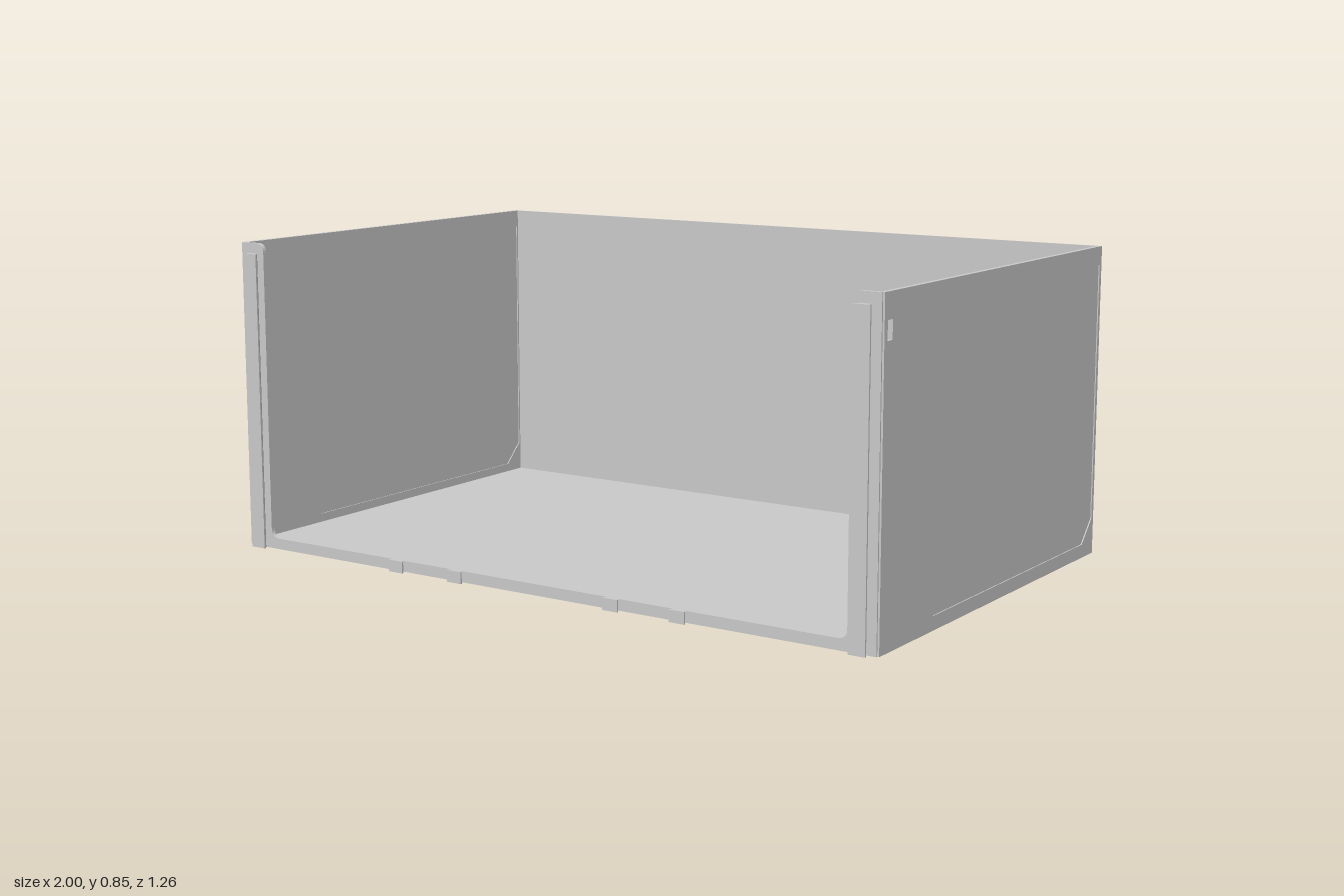
import * as THREE from 'three';

const mat = new THREE.MeshStandardMaterial({ color: 0xcccccc, flatShading: true });
const W = 1, H = 0.85;

function shapeOf(points) {
  return new THREE.Shape(points.map(([x, y]) => new THREE.Vector2(x, y)));
}

function extrude(shape, depth) {
  return new THREE.ExtrudeGeometry(shape, { depth, bevelEnabled: false, curveSegments: 6 });
}

function add(parent, name, geometry, x = 0, y = 0, z = 0) {
  const mesh = new THREE.Mesh(geometry, mat);
  mesh.name = name;
  mesh.position.set(x, y, z);
  parent.add(mesh);
  return mesh;
}

function rect(x0, y0, x1, y1) {
  return [[x0, y0], [x1, y0], [x1, y1], [x0, y1]];
}

// Sloped band joining a loop of [x, y, xDeep, yDeep] points at two depths
function slopes(loop, zFace, zDeep) {
  const pos = [];
  loop.forEach((p, i) => {
    const q = loop[(i + 1) % loop.length];
    const a = [p[2], p[3], zDeep], b = [q[2], q[3], zDeep];
    const c = [q[0], q[1], zFace], d = [p[0], p[1], zFace];
    pos.push(...a, ...b, ...c, ...a, ...c, ...d);
  });
  const g = new THREE.BufferGeometry();
  g.setAttribute('position', new THREE.Float32BufferAttribute(pos, 3));
  g.computeVertexNormals();
  return g;
}

// Back wall, built facing +z and then turned round
function makeBackWall() {
  const wall = new THREE.Group();
  wall.name = 'backWall';
  const zIn = 0.605, zDeep = 0.611, zFace = 0.631;
  add(wall, 'backSheet', new THREE.BoxGeometry(2 * W, H, zDeep - zIn), 0, H / 2, (zIn + zDeep) / 2);

  // Outline with three tapered slots open at the top
  const outline = [[-0.99, 0.005, -W, 0], [0.99, 0.005, W, 0], [0.99, H - 0.004, W, H]];
  for (const c of [0.7, 0, -0.7]) {
    outline.push(
      [c + 0.082, H - 0.004, c + 0.062, H], [c + 0.075, 0.655, c + 0.062, 0.675],
      [c - 0.075, 0.655, c - 0.062, 0.675], [c - 0.082, H - 0.004, c - 0.062, H]);
  }
  outline.push([-0.99, H - 0.004, -W, H]);
  const face = shapeOf(outline);
  add(wall, 'backRim', slopes(outline, zFace, zDeep));

  // Bevelled pockets: [x0, x1, top]
  const pockets = [[-0.08, 0.08, 0.61]];
  for (const [x0, x1, top] of [[0.095, 0.615, 0.815], [0.63, 0.775, 0.61], [0.79, 0.98, 0.815]]) {
    pockets.push([x0, x1, top], [-x1, -x0, top]);
  }
  for (const [x0, x1, top] of pockets) {
    const outer = rect(x0, 0.014, x1, top);
    const inner = rect(x0 + 0.033, 0.062, x1 - 0.033, top - 0.05);
    const loop = outer.map((p, i) => [...p, ...inner[i]]).reverse();
    face.holes.push(shapeOf(loop));
    add(wall, 'pocketBevel', slopes(loop, zFace, zDeep));
  }
  add(wall, 'backFace', new THREE.ShapeGeometry(face), 0, 0, zFace);
  wall.rotation.y = Math.PI;
  return wall;
}

// Side wall: frame with a shallow recessed panel and a small window
function makeSide(sign) {
  const side = new THREE.Group();
  side.name = sign > 0 ? 'leftSide' : 'rightSide';
  const t = 0.013;
  const panel = [[-0.545, 0.245], [-0.34, 0.037], [0.54, 0.037], [0.6, 0.098],
    [0.6, 0.8], [-0.48, 0.8], [-0.545, 0.735]];
  const frame = shapeOf(rect(-0.61, 0, 0.612, H));
  frame.holes.push(shapeOf(panel), shapeOf(rect(-0.595, 0.737, -0.571, 0.785)));
  add(side, 'sideFrame', extrude(frame, t).rotateY(Math.PI / 2));
  add(side, 'sidePanel', extrude(shapeOf(panel), t - 0.006).rotateY(Math.PI / 2), 0.003);
  side.position.x = sign > 0 ? W - t : -W;
  return side;
}

// Flat U-shaped lip round the front opening, with rounded inner corners
function makeFrontLip() {
  const x = 0.917, y = 0.03, r = 0.025, s = new THREE.Shape();
  s.moveTo(-0.995, 0);
  s.lineTo(0.995, 0);
  s.lineTo(0.995, H);
  s.lineTo(x + r, H);
  s.quadraticCurveTo(x, H, x, H - r);
  s.lineTo(x, y + r);
  s.quadraticCurveTo(x, y, x - r, y);
  s.lineTo(-x + r, y);
  s.quadraticCurveTo(-x, y, -x, y + r);
  s.lineTo(-x, H - r);
  s.quadraticCurveTo(-x, H, -x - r, H);
  s.lineTo(-0.995, H);
  return extrude(s, 0.012);
}

// Upright bar that widens towards the front
function dovetail(height) {
  const s = shapeOf([[-0.023, -0.632], [0.023, -0.632], [0.023, -0.627],
    [0.01, -0.612], [-0.01, -0.612], [-0.023, -0.627]]);
  return extrude(s, height).rotateX(-Math.PI / 2);
}

export function createModel() {
  const model = new THREE.Group();
  model.name = 'openBin';
  add(model, 'floor', new THREE.BoxGeometry(2 * W - 0.01, 0.013, 1.22), 0, 0.0065, 0);
  model.add(makeBackWall());
  add(model, 'frontLip', makeFrontLip(), 0, 0, 0.602);
  for (const sign of [1, -1]) {
    model.add(makeSide(sign));
    add(model, 'frontRail', dovetail(0.822), sign * 0.952);
    for (const x of [0.25, 0.45]) add(model, 'frontTab', dovetail(0.032), sign * x);
  }
  return model;
}
